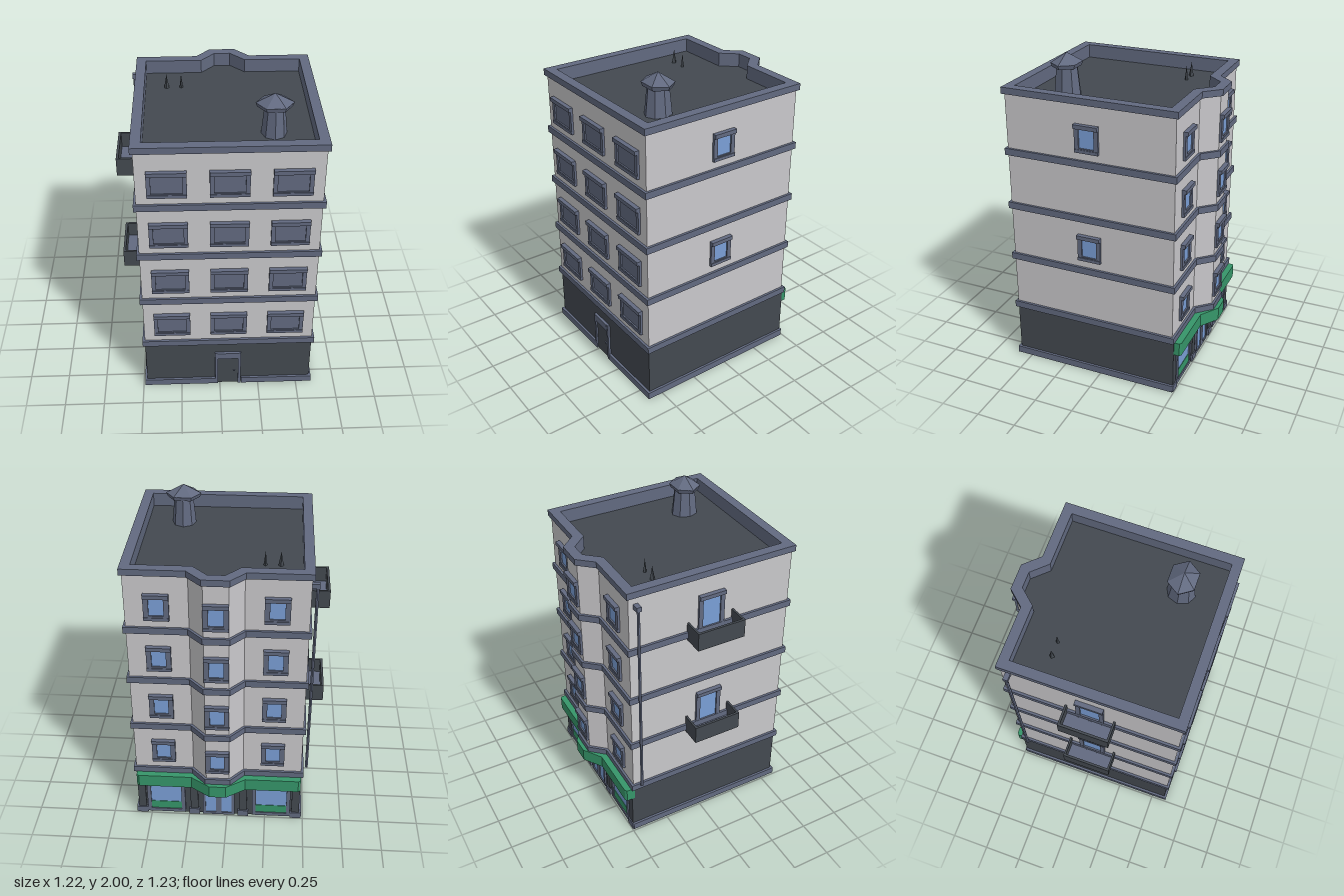
import * as THREE from 'three';

const mat = (name, color, extra = {}) => {
  const m = new THREE.MeshStandardMaterial({ color, ...extra });
  m.name = name;
  return m;
};

export function createModel() {
  const wall = mat('plaster', 0xc9c8cb);
  const slate = mat('slateTrim', 0x626a80);
  const dark = mat('darkStone', 0x434950);
  const green = mat('awningGreen', 0x36966a);
  const glass = mat('glassBlue', 0x7a9fd6);
  const root = new THREE.Group();
  root.name = 'building';

  const add = (parent, name, geo, material, x = 0, y = 0, z = 0) => {
    const m = new THREE.Mesh(geo, material);
    m.name = name;
    m.position.set(x, y, z);
    parent.add(m);
    return m;
  };
  // Box given by its limits on each axis
  const box = (parent, name, material, x0, x1, y0, y1, z0, z1) =>
    add(parent, name, new THREE.BoxGeometry(x1 - x0, y1 - y0, z1 - z0), material,
      (x0 + x1) / 2, (y0 + y1) / 2, (z0 + z1) / 2);
  const toShape = (pts, S = THREE.Shape) => new S(pts.map(([x, z]) => new THREE.Vector2(x, -z)));
  // Vertical prism over a plan outline, optionally hollow
  const prism = (name, material, pts, y0, y1, hole) => {
    const s = toShape(pts);
    if (hole) s.holes.push(toShape(hole, THREE.Path));
    const g = new THREE.ExtrudeGeometry(s, { depth: y1 - y0, bevelEnabled: false });
    g.rotateX(-Math.PI / 2);
    return add(root, name, g, material, 0, y0, 0);
  };
  // Floor plan with the back bay, grown outward by o
  const plan = (o) => [
    [-0.475 - o, 0.585 + o], [0.585 + o, 0.585 + o], [0.585 + o, -0.48 - o],
    [0.215 + o * 0.5, -0.48 - o], [0.125 + o * 0.5, -0.575 - o],
    [-0.02 - o * 0.5, -0.575 - o], [-0.105 - o * 0.5, -0.48 - o], [-0.475 - o, -0.48 - o],
  ];

  // Main body
  box(root, 'groundFloor', dark, -0.475, 0.585, 0, 0.36, -0.48, 0.585);
  prism('upperWalls', wall, plan(0), 0.36, 1.745);
  prism('parapetWall', wall, plan(0), 1.745, 1.797, plan(-0.035));
  prism('parapetLining', slate, plan(-0.035), 1.745, 1.797, plan(-0.045));
  prism('parapetCap', slate, plan(0.015), 1.795, 1.835, plan(-0.045));
  prism('roofDeck', dark, plan(-0.04), 1.744, 1.75);
  [0.355, 0.71, 1.062, 1.415].forEach((y) => prism('floorBand', slate, plan(0.015), y, y + 0.042));

  // Plinth, open at the front door and the shop front
  box(root, 'plinth', slate, -0.49, -0.03, 0, 0.045, 0.57, 0.6);
  box(root, 'plinth', slate, 0.14, 0.6, 0, 0.045, 0.57, 0.6);
  box(root, 'plinth', slate, -0.49, -0.465, 0, 0.045, -0.49, 0.6);
  box(root, 'plinth', slate, 0.575, 0.6, 0, 0.045, -0.49, 0.6);

  // Frame with a pane, facing local +z, resting on the wall plane
  const frame = (w, h, t, d) => {
    const s = new THREE.Shape([[-w, -h], [w, -h], [w, h], [-w, h]].map(([a, b]) => new THREE.Vector2(a / 2, b / 2)));
    const a = w / 2 - t, b = h / 2 - t;
    s.holes.push(new THREE.Path([[-a, -b], [-a, b], [a, b], [a, -b]].map((p) => new THREE.Vector2(...p))));
    return new THREE.ExtrudeGeometry(s, { depth: d, bevelEnabled: false });
  };
  const windowUnit = (name, w, h, t, pane, x, y, z, turn) => {
    const g = new THREE.Group();
    g.name = name;
    add(g, 'frame', frame(w, h, t, 0.014), slate);
    box(g, 'hood', slate, -w / 2, w / 2, h / 2 - 0.025, h / 2, 0, 0.028);
    box(g, 'sill', slate, -w / 2, w / 2, -h / 2, -h / 2 + 0.02, 0, 0.018);
    box(g, 'pane', pane, -w / 2 + t, w / 2 - t, -h / 2 + t, h / 2 - t, 0, 0.005);
    g.position.set(x, y, z);
    g.rotation.y = turn;
    root.add(g);
    return g;
  };

  [0.535, 0.888, 1.24, 1.592].forEach((y, i) => {
    // Shuttered front windows
    [-0.298, 0.055, 0.408].forEach((x) =>
      windowUnit('frontWindow', 0.226, 0.172, 0.025, slate, x, y, 0.585, 0));
    // Glazed back windows
    [[-0.29, -0.48], [0.053, -0.575], [0.4, -0.48]].forEach(([x, z]) =>
      windowUnit('backWindow', 0.148, 0.172, 0.031, glass, x, y, z, Math.PI));
    if (i % 2) {
      // Side window, with a balcony and its door opposite
      windowUnit('sideWindow', 0.15, 0.172, 0.027, glass, 0.585, y, 0.06, Math.PI / 2);
      windowUnit('balconyDoor', 0.17, 0.28, 0.027, glass, -0.475, y - 0.054, 0.045, -Math.PI / 2);
      const b = new THREE.Group();
      b.name = 'balcony';
      const y0 = y - 0.195, y1 = y - 0.077;
      box(b, 'balconyFloor', slate, -0.6, -0.475, y0 + 0.003, y0 + 0.02, -0.1, 0.19);
      box(b, 'balconyUnderside', dark, -0.6, -0.475, y0, y0 + 0.004, -0.1, 0.19);
      box(b, 'balconyFront', dark, -0.605, -0.59, y0, y1, -0.11, 0.2);
      [-0.11, 0.187].forEach((z) => box(b, 'balconySide', dark, -0.6, -0.475, y0, y1, z, z + 0.013));
      root.add(b);
    }
  });

  // Front door
  box(root, 'doorJamb', slate, -0.03, -0.012, 0, 0.275, 0.58, 0.6);
  box(root, 'doorJamb', slate, 0.118, 0.136, 0, 0.275, 0.58, 0.6);
  box(root, 'doorHead', slate, -0.015, 0.122, 0.228, 0.275, 0.58, 0.603);
  box(root, 'doorLeaf', dark, -0.012, 0.118, 0, 0.228, 0.583, 0.59);
  box(root, 'doorHandle', slate, 0.085, 0.1, 0.105, 0.115, 0.588, 0.597);

  // Shop front
  [-0.29, 0.4].forEach((x) => {
    const g = new THREE.Group();
    g.name = 'shopWindow';
    add(g, 'shopFrame', frame(0.25, 0.27, 0.025, 0.014), slate);
    box(g, 'shopGlass', glass, -0.1, 0.1, -0.11, 0.11, 0, 0.005);
    box(g, 'greenPanel', green, -0.1, 0.1, -0.11, -0.05, 0, 0.008);
    g.position.set(x, 0.145, -0.48);
    g.rotation.y = Math.PI;
    root.add(g);
  });
  [0.003, 0.107].forEach((x) => {
    add(root, 'shopDoorFrame', frame(0.104, 0.27, 0.018, 0.012), slate, x, 0.135, -0.48).rotation.y = Math.PI;
    box(root, 'shopDoorGlass', glass, x - 0.035, x + 0.035, 0.018, 0.255, -0.485, -0.475);
  });
  [-0.45, -0.105, 0.215, 0.56].forEach((x) => {
    box(root, 'pilaster', dark, x - 0.025, x + 0.025, 0.04, 0.355, -0.49, -0.47);
    box(root, 'pilasterBase', slate, x - 0.035, x + 0.035, 0, 0.045, -0.497, -0.47);
  });
  prism('awning', green, [
    [-0.475, -0.47], [0.58, -0.47], [0.58, -0.525], [0.565, -0.535], [0.225, -0.535], [0.105, -0.615],
    [0, -0.615], [-0.12, -0.535], [-0.46, -0.535], [-0.475, -0.525],
  ], 0.27, 0.357);

  // Drainpipe with a bend into the wall
  add(root, 'drainpipe', new THREE.CylinderGeometry(0.01, 0.01, 1.32, 6), slate, -0.508, 1.06, -0.435);
  box(root, 'drainpipeBend', slate, -0.52, -0.47, 1.72, 1.75, -0.45, -0.42);

  // Chimney with a pointed cowl
  const stack = new THREE.CylinderGeometry(0.058, 0.075, 0.19, 8);
  stack.scale(1, 1, 1.15);
  add(root, 'chimney', stack, slate, 0.315, 1.838, 0.315);
  const rim = new THREE.CylinderGeometry(0.11, 0.1, 0.025, 6).rotateY(Math.PI / 6).scale(1, 1, 0.83);
  add(root, 'cowlRim', rim, slate, 0.315, 1.93, 0.315);
  const cowl = new THREE.ConeGeometry(0.11, 0.058, 6).rotateY(Math.PI / 6).scale(1, 1, 0.83);
  add(root, 'cowl', cowl, slate, 0.315, 1.971, 0.315);

  // Small roof vents
  [[-0.3, 0.016], [-0.21, 0.011]].forEach(([x, r]) =>
    add(root, 'roofVent', new THREE.ConeGeometry(r, 0.09, 4), dark, x, 1.794, -0.24));

  // Crisp low-poly shading
  [wall, slate, dark, green, glass].forEach((m) => { m.flatShading = true; });
  return root;
}
